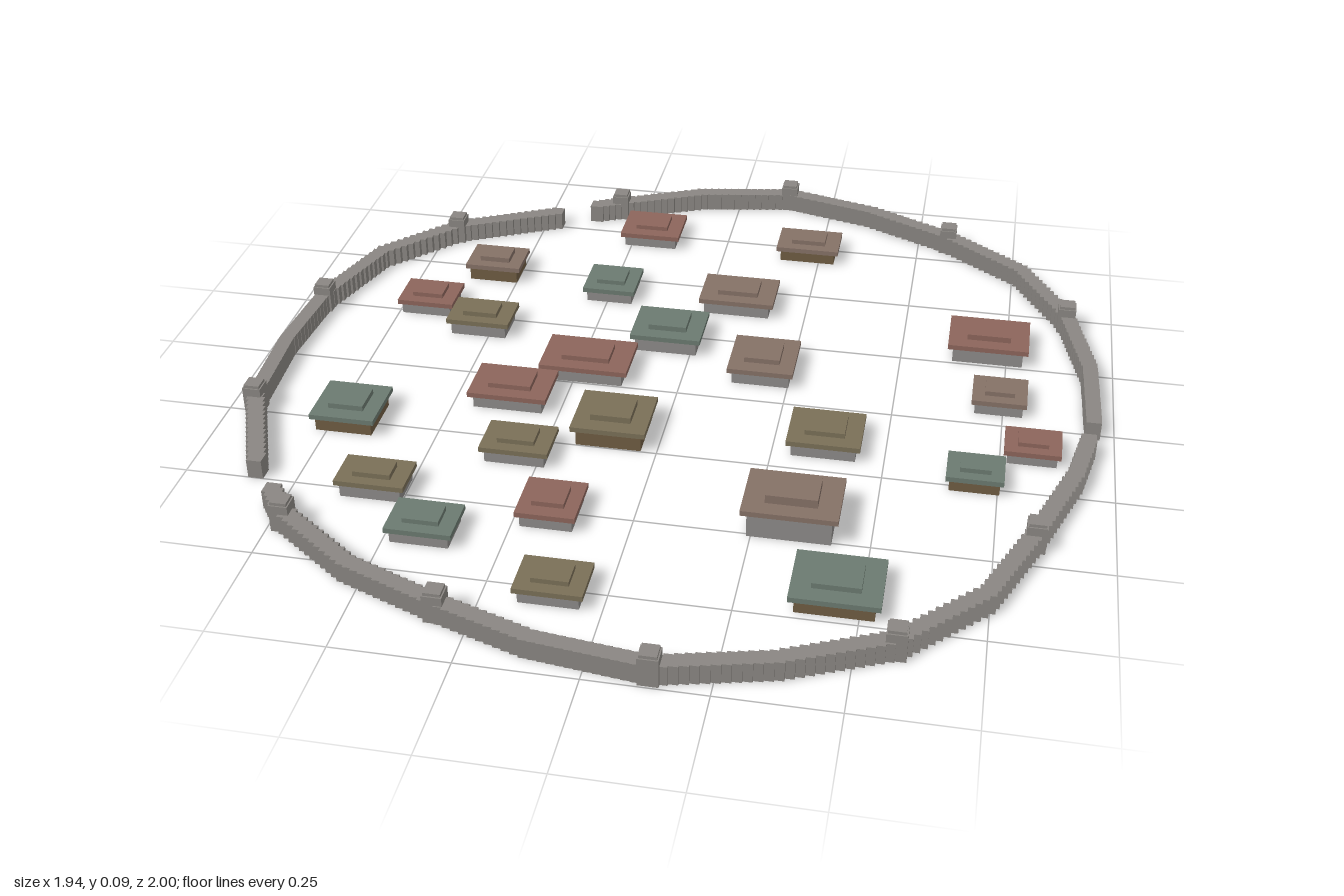
import * as THREE from 'three';
import { mergeGeometries } from 'three/addons/utils/BufferGeometryUtils.js';

const material = (color) => new THREE.MeshStandardMaterial({ color, flatShading: true });
const mats = {
  wall: material(0x8a8682),
  stone: material(0x8c8a88),
  timber: material(0x6e5c42),
  red: material(0x8c655b),
  brown: material(0x857166),
  olive: material(0x7a6f57),
  green: material(0x6b7a70),
};

// Box standing on height y
function block(w, h, d, x, y, z) {
  return new THREE.BoxGeometry(w, h, d).translate(x, y + h / 2, z);
}

function add(parent, name, geometry, mat) {
  const mesh = new THREE.Mesh(geometry, mat);
  mesh.name = name;
  parent.add(mesh);
}

// House: x, z, roof width, roof depth, total height, roof colour, body material
const houses = [
  [-0.2, -0.74, 0.155, 0.13, 0.05, 'red'],
  [0.22, -0.725, 0.16, 0.11, 0.052, 'brown', 'timber'],
  [-0.56, -0.48, 0.14, 0.11, 0.058, 'brown', 'timber'],
  [-0.245, -0.435, 0.13, 0.125, 0.05, 'green'],
  [0.08, -0.43, 0.185, 0.13, 0.055, 'brown'],
  [-0.68, -0.285, 0.14, 0.11, 0.05, 'red'],
  [-0.525, -0.21, 0.155, 0.11, 0.055, 'olive'],
  [-0.06, -0.23, 0.17, 0.14, 0.06, 'green'],
  [0.185, -0.135, 0.155, 0.155, 0.056, 'brown'],
  [-0.225, -0.065, 0.21, 0.14, 0.055, 'red'],
  [0.705, -0.32, 0.19, 0.14, 0.063, 'red'],
  [0.74, -0.09, 0.125, 0.11, 0.05, 'brown'],
  [0.82, 0.1, 0.125, 0.1, 0.046, 'red'],
  [-0.37, 0.085, 0.185, 0.13, 0.054, 'red'],
  [-0.11, 0.18, 0.17, 0.155, 0.066, 'olive', 'timber'],
  [0.365, 0.14, 0.165, 0.14, 0.054, 'olive'],
  [0.7, 0.225, 0.125, 0.1, 0.05, 'green', 'timber'],
  [-0.71, 0.235, 0.15, 0.145, 0.058, 'green', 'timber'],
  [-0.3, 0.3, 0.155, 0.11, 0.052, 'olive'],
  [0.33, 0.44, 0.205, 0.155, 0.09, 'brown'],
  [-0.57, 0.485, 0.155, 0.1, 0.055, 'olive'],
  [-0.175, 0.505, 0.13, 0.13, 0.052, 'red'],
  [-0.42, 0.615, 0.145, 0.11, 0.05, 'green'],
  [0.45, 0.665, 0.185, 0.155, 0.056, 'green', 'timber'],
  [-0.11, 0.755, 0.145, 0.11, 0.05, 'olive'],
];

function house([x, z, w, d, h, roof, body = 'stone']) {
  const g = new THREE.Group();
  g.name = 'house';
  const eave = h * 0.78, slab = 0.012;
  add(g, 'houseBody', block(w * 0.87, eave - slab, d * 0.87, 0, 0, 0), mats[body]);
  add(g, 'lowerRoof', block(w, slab, d, 0, eave - slab, 0), mats[roof]);
  add(g, 'upperRoof', block(w * 0.54, h - eave, d * 0.52, 0, eave, 0), mats[roof]);
  g.position.set(x, 0, z);
  return g;
}

// Wall runs between the three gates; a third value of 1 marks a tower
const wallRuns = [
  [[0.94, 0.08], [0.913, 0.215], [0.834, 0.437, 1], [0.745, 0.65], [0.58, 0.82, 1], [0.363, 0.918],
    [0.13, 0.975, 1], [-0.113, 0.945], [-0.318, 0.875, 1], [-0.53, 0.79], [-0.717, 0.652, 1], [-0.765, 0.585]],
  [[-0.84, 0.483], [-0.938, 0.24, 1], [-0.953, 0], [-0.938, -0.228, 1], [-0.865, -0.462],
    [-0.71, -0.635, 1], [-0.47, -0.755]],
  [[-0.37, -0.815], [-0.31, -0.845, 1], [-0.103, -0.938], [0.135, -0.98, 1], [0.363, -0.918],
    [0.577, -0.812, 1], [0.77, -0.665], [0.887, -0.458, 1], [0.943, -0.22], [0.951, 0]],
];

export function createModel() {
  const model = new THREE.Group();
  model.name = 'walledTown';

  for (const run of wallRuns) {
    // Square stone blocks stepped closely along the line
    const blocks = [];
    for (let i = 0; i < run.length - 1; i++) {
      const [ax, az] = run[i], [bx, bz] = run[i + 1];
      const n = Math.ceil(Math.hypot(bx - ax, bz - az) / 0.02);
      const last = i === run.length - 2 ? n : n - 1;
      for (let k = 0; k <= last; k++) {
        const t = k / n;
        blocks.push(block(0.034, 0.045, 0.034, ax + (bx - ax) * t, 0, az + (bz - az) * t));
      }
    }
    add(model, 'townWall', mergeGeometries(blocks), mats.wall);

    // Watchtowers with a slightly narrower top
    for (const [x, z, isTower] of run) {
      if (!isTower) continue;
      const tower = mergeGeometries([
        block(0.042, 0.065, 0.042, x, 0, z),
        block(0.036, 0.007, 0.036, x, 0.065, z),
      ]);
      add(model, 'wallTower', tower, mats.wall);
    }
  }

  for (const h of houses) model.add(house(h));
  return model;
}
